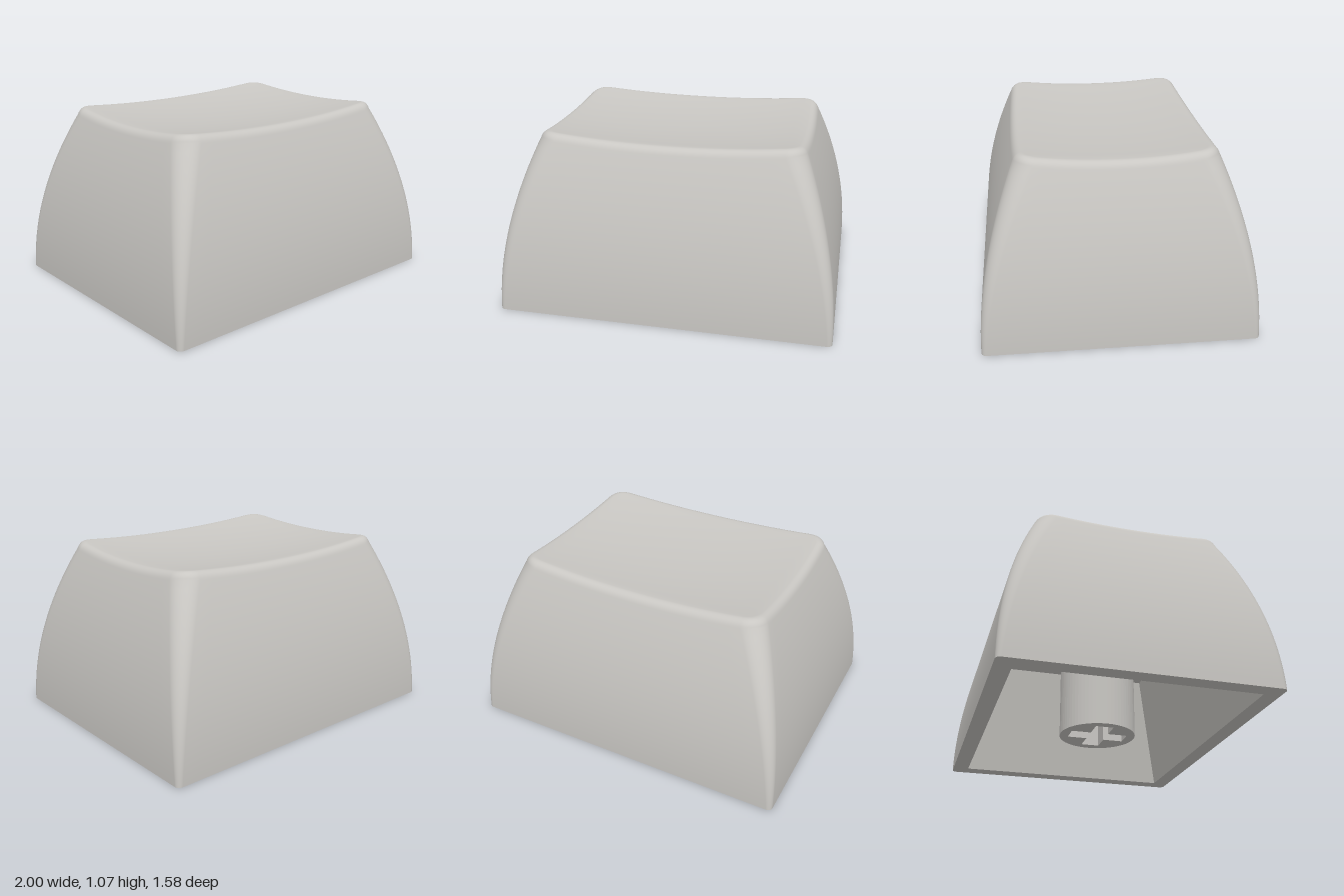
import * as THREE from 'three';

const HALF_W = 1, HALF_D = 0.79;
const CORNER_STEPS = 8, EDGE_STEPS = 16;
const CAVITY_H = 0.73;

// Rounded-rectangle ring: corner-centre factors (cx, cz) and outward normal (nx, nz)
function ringParams() {
  const corners = [[1, 1], [-1, 1], [-1, -1], [1, -1]];
  const out = [];
  corners.forEach(([cx, cz], k) => {
    const [ex, ez] = corners[(k + 1) % 4];
    for (let i = 0; i <= CORNER_STEPS; i++) {
      const a = (k + i / CORNER_STEPS) * Math.PI / 2;
      out.push({ cx, cz, nx: Math.cos(a), nz: Math.sin(a) });
    }
    const a = (k + 1) * Math.PI / 2;
    for (let i = 1; i < EDGE_STEPS; i++) {
      const t = i / EDGE_STEPS;
      out.push({ cx: cx + (ex - cx) * t, cz: cz + (ez - cz) * t, nx: Math.cos(a), nz: Math.sin(a) });
    }
  });
  return out;
}

const RING = ringParams();

function ringPoint(p, inset, r) {
  return [
    p.cx * (HALF_W - inset - r) + p.nx * r,
    p.cz * (HALF_D - inset - r) + p.nz * r,
  ];
}

// Dished top: lowest in the middle, highest at the corners
function dish(x, z) {
  const u = Math.min(1, Math.abs(x) / 0.72), v = Math.min(1, Math.abs(z) / 0.52);
  return 1.0 + 0.035 * (u ** 2.1 + v ** 2.1);
}

const sideInset = (y) => 0.207 * y * y;
const cornerRadius = (y) => 0.03 + 0.085 * y;

// Outer skin: bowed sides, rounded rim, dished top
function outerGeometry() {
  const SIDE = 24, FILLET = 8, TOP = 20;
  const rows = SIDE + FILLET + TOP + 1, n = RING.length;
  const pos = [], index = [];
  for (let i = 0; i < rows; i++) {
    for (const p of RING) {
      const [ex, ez] = ringPoint(p, 0.27, 0.09);
      const rimY = dish(ex, ez), y0 = rimY - 0.04;
      const i0 = sideInset(y0), r0 = cornerRadius(y0);
      if (i <= SIDE) {
        const y = y0 * i / SIDE;
        const [x, z] = ringPoint(p, sideInset(y), cornerRadius(y));
        pos.push(x, y, z);
      } else {
        const t = Math.min(1, (i - SIDE) / FILLET), s = 1 - t;
        const inset = i0 + 2 * s * t * 0.016 + t * t * 0.055;
        let [x, z] = ringPoint(p, inset, r0 - 0.03 * t);
        const k = 1 - Math.max(0, i - SIDE - FILLET) / TOP;
        x *= k;
        z *= k;
        pos.push(x, dish(x, z) * (1 - s * s) + y0 * s * s, z);
      }
    }
  }
  for (let i = 0; i < rows - 1; i++) {
    for (let j = 0; j < n; j++) {
      const a = i * n + j, b = i * n + (j + 1) % n;
      index.push(a, a + n, b, b, a + n, b + n);
    }
  }
  const g = new THREE.BufferGeometry();
  g.setAttribute('position', new THREE.Float32BufferAttribute(pos, 3));
  g.setIndex(index);
  g.computeVertexNormals();
  return g;
}

// Flat underside rim around the opening
function rimGeometry(w, d) {
  const shape = new THREE.Shape(RING.map((p) => new THREE.Vector2(...ringPoint(p, 0, cornerRadius(0)))));
  shape.holes.push(new THREE.Path([[-w, -d], [-w, d], [w, d], [w, -d]].map((c) => new THREE.Vector2(...c))));
  return new THREE.ShapeGeometry(shape).rotateX(Math.PI / 2);
}

// Hollow inside: a tapered box turned inside out, without its floor
function cavityGeometry(w, d, taper) {
  const box = new THREE.BoxGeometry(2 * w, CAVITY_H, 2 * d).translate(0, CAVITY_H / 2, 0);
  const pos = box.attributes.position;
  for (let i = 0; i < pos.count; i++) {
    if (pos.getY(i) < 0.01) continue;
    pos.setX(i, Math.sign(pos.getX(i)) * (w - taper));
    pos.setZ(i, Math.sign(pos.getZ(i)) * (d - taper));
  }
  const faces = Array.from(box.index.array).filter((_, i) => i < 18 || i >= 24);
  box.clearGroups();
  box.setIndex(faces.reverse());
  const g = box.toNonIndexed();
  g.computeVertexNormals();
  return g;
}

// Cross outline: arm length l, half arm width w
function crossPoints(l, w) {
  return [[l, -w], [l, w], [w, w], [w, l], [-w, l], [-w, w], [-l, w], [-l, -w], [-w, -w], [-w, -l], [w, -l], [w, -w]]
    .map((c) => new THREE.Vector2(...c));
}

export function createModel() {
  const plastic = new THREE.MeshStandardMaterial({ color: 0xc9c7c3 });
  plastic.name = 'light grey plastic';
  const group = new THREE.Group();
  group.name = 'keycap';
  const add = (name, geometry) => {
    const mesh = new THREE.Mesh(geometry, plastic);
    mesh.name = name;
    group.add(mesh);
    return mesh;
  };

  add('outerShell', outerGeometry());
  add('bottomRim', rimGeometry(HALF_W - 0.1, HALF_D - 0.1));
  add('innerCavity', cavityGeometry(HALF_W - 0.1, HALF_D - 0.1, 0.15));

  // Round stem with a cross-shaped socket
  const cross = crossPoints(0.175, 0.055);
  const stem = new THREE.Shape().absarc(0, 0, 0.234, 0, Math.PI * 2);
  stem.holes.push(new THREE.Path(cross));
  add('stem', new THREE.ExtrudeGeometry(stem, { depth: CAVITY_H + 0.01, bevelEnabled: false, curveSegments: 32 })
    .rotateX(-Math.PI / 2));
  add('socketEnd', new THREE.ShapeGeometry(new THREE.Shape(cross)).rotateX(Math.PI / 2)).position.y = 0.45;

  return group;
}
